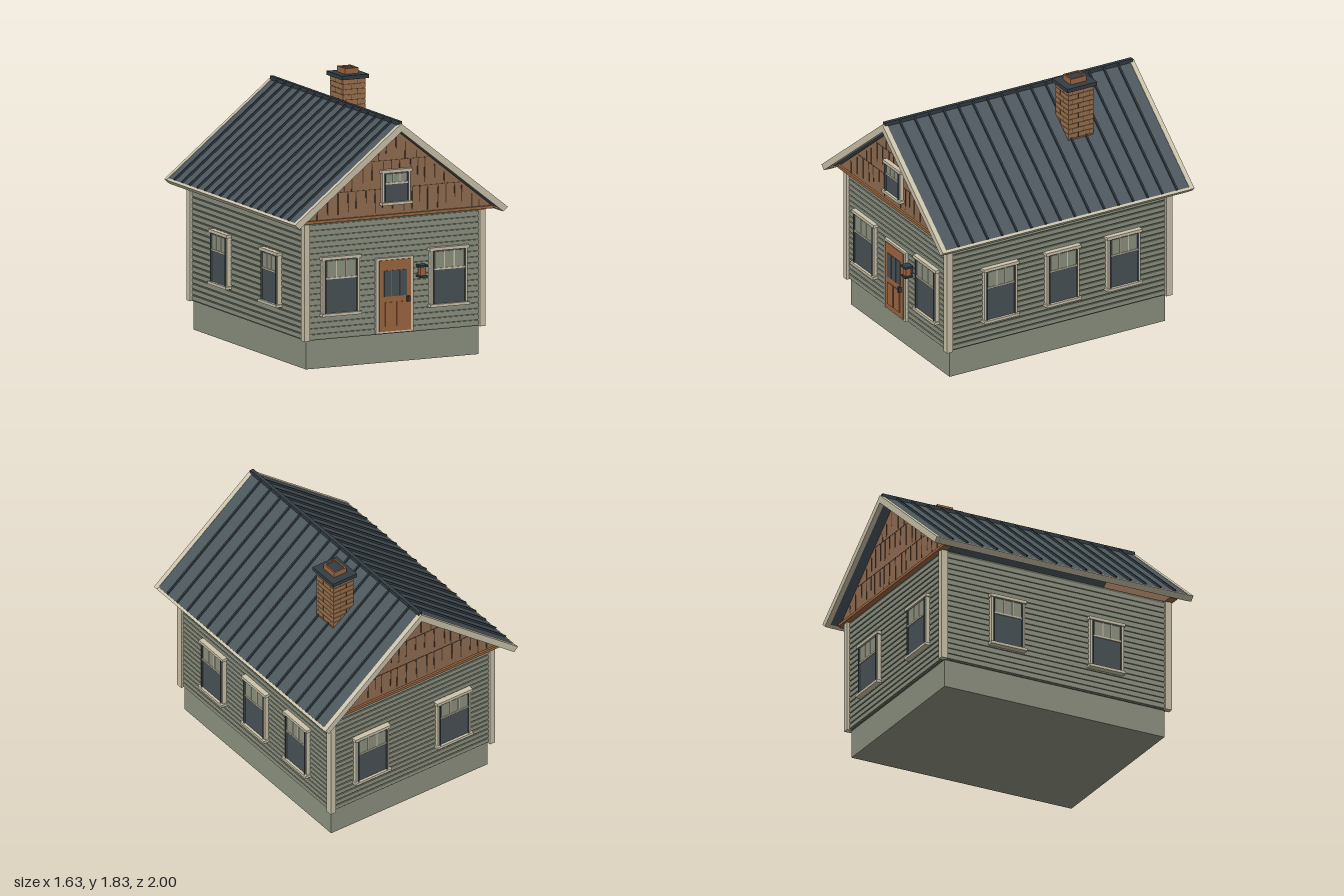
import * as THREE from 'three';

const mat = (name, color) => {
  const m = new THREE.MeshStandardMaterial({ color });
  m.name = name;
  return m;
};

export function createModel() {
  const M = {
    wall: mat('sage siding', 0x8f9482),
    groove: mat('siding shadow', 0x646a5e),
    trim: mat('cream trim', 0xccc4ac),
    roof: mat('slate roof', 0x4b565c),
    dark: mat('dark metal', 0x333d44),
    glass: mat('window glass', 0x4a5358),
    shake: mat('gable wood', 0x926e53),
    shakeLine: mat('wood gap', 0x57402f),
    copper: mat('stained wood', 0x9f6840),
    brick: mat('brick', 0x9c724f),
  };
  const house = new THREE.Group();
  house.name = 'house';

  let seed = 7;
  const rand = () => (seed = (seed * 16807) % 2147483647) / 2147483647;
  const group = (name, parent = house) => {
    const g = new THREE.Group();
    g.name = name;
    parent.add(g);
    return g;
  };
  // box given by its minimum and maximum along each axis
  const box = (parent, name, m, x0, x1, y0, y1, z0, z1) => {
    const mesh = new THREE.Mesh(new THREE.BoxGeometry(x1 - x0, y1 - y0, z1 - z0), m);
    mesh.position.set((x0 + x1) / 2, (y0 + y1) / 2, (z0 + z1) / 2);
    mesh.name = name;
    parent.add(mesh);
    return mesh;
  };
  const prism = (parent, name, m, pts, z0, z1) => {
    const shape = new THREE.Shape(pts.map(p => new THREE.Vector2(...p)));
    const mesh = new THREE.Mesh(new THREE.ExtrudeGeometry(shape, { depth: z1 - z0, bevelEnabled: false }), m);
    mesh.position.z = z0;
    mesh.name = name;
    parent.add(mesh);
    return mesh;
  };

  // foundation and lap siding
  box(house, 'foundation', M.wall, -0.66, 0.66, 0, 0.2, -0.857, 0.857);
  const walls = group('walls');
  box(walls, 'sidingGrooves', M.groove, -0.668, 0.668, 0.2, 1.02, -0.87, 0.87);
  for (let i = 0; i < 20; i++) {
    const y = 0.2 + i * 0.04;
    box(walls, 'sidingBoard', M.wall, -0.676, 0.676, y + 0.009, y + 0.04, -0.879, 0.879);
  }
  for (const sx of [-1, 1]) for (const sz of [-1, 1]) {
    const c = box(walls, 'cornerTrim', M.trim, -0.021, 0.021, 0.2, 1.01, -0.025, 0.025);
    c.position.x = sx * 0.671;
    c.position.z = sz * 0.873;
  }

  // roof: chevron cross-section run along z
  const slope = 0.79;
  const chevron = (half, top, t) => {
    const yo = x => top - slope * x, yi = x => top - t - slope * x;
    const hi = half - 0.033;
    return [[0, top], [-half, yo(half)], [-hi, yi(hi)], [0, yi(0)], [hi, yi(hi)], [half, yo(half)]];
  };
  const roof = group('roof');
  prism(roof, 'roofPanels', M.roof, chevron(0.803, 1.673, 0.045), -0.968, 0.968);
  for (const z of [-1, 0.966]) prism(roof, 'rakeBoard', M.trim, chevron(0.813, 1.677, 0.057), z, z + 0.034);
  box(roof, 'ridgeCap', M.dark, -0.013, 0.013, 1.662, 1.69, -0.985, 0.985);
  const angle = Math.atan(slope);
  for (const s of [-1, 1]) {
    prism(roof, 'eaveFascia', M.trim,
      [[0.797, 1.045], [0.76, 1.019], [0.78, 1.002], [0.812, 1.033]].map(([x, y]) => [s * x, y]), -0.97, 0.97);
    for (let i = 0; i < 16; i++) {
      const seam = box(roof, 'roofSeam', M.dark, -0.505, 0.505, -0.009, 0.009, -0.006, 0.006);
      seam.position.set(s * 0.402, 1.675 - slope * 0.402 + 0.004, -0.87 + i * 0.1157);
      seam.rotation.z = -s * angle;
    }
  }

  // gables with wooden shakes, front and back
  const rows = [1.035, 1.215, 1.41, 1.6];
  for (const s of [1, -1]) {
    const g = group(s > 0 ? 'frontGable' : 'backGable');
    if (s < 0) g.rotation.y = Math.PI;
    prism(g, 'gableWall', M.shake, [[-0.765, 1.015], [0.765, 1.015], [0, 1.625]], 0.85, 0.895);
    box(g, 'gableBand', M.copper, -0.75, 0.75, 1.015, 1.035, 0.86, 0.91);
    for (let r = 0; r < 3; r++) {
      const half = (1.61 - rows[r]) / slope;
      if (r) box(g, 'shakeCourse', M.shakeLine, -half, half, rows[r] - 0.002, rows[r] + 0.002, 0.89, 0.897);
      for (let x = -half + 0.05; x < half - 0.03; x += 0.05 + rand() * 0.04) {
        const top = Math.min(rows[r + 1], 1.6 - slope * Math.abs(x)) - 0.005;
        const len = Math.min(0.08 + rand() * 0.09, top - rows[r]);
        if (len < 0.03) continue;
        const gap = box(g, 'shakeGap', M.shakeLine, x - 0.004, x + 0.004, top - len, top, 0.89, 0.898);
        gap.rotation.z = (rand() - 0.5) * 0.08;
      }
    }
  }

  // window built facing +z, with its base on the wall plane
  const windowUnit = (name, w, y0, y1, x, y, z, turn) => {
    const g = group(name);
    g.position.set(x, y, z);
    g.rotation.y = turn;
    const a = w / 2, p = a - 0.027, b = y0 + 0.02, t = y1 - 0.022;
    for (const s of [-1, 1]) {
      const j = box(g, 'sideCasing', M.trim, -0.008, 0.008, b, t, -0.01, 0.03);
      j.position.x = s * (a - 0.018);
    }
    box(g, 'headCasing', M.trim, -a, a, t, y1, -0.01, 0.038);
    box(g, 'sill', M.trim, -a, a, y0, b, -0.01, 0.045);
    box(g, 'pane', M.glass, -p, p, b, t, -0.01, 0.026);
    const rail = b + (t - b) * 0.67, c = p - 0.014;
    box(g, 'blind', M.wall, -c, c, rail, t - 0.01, 0.022, 0.029);
    box(g, 'meetingRail', M.trim, -p, p, rail - 0.012, rail, 0.02, 0.034);
    for (const s of [-1, 1])
      box(g, 'muntin', M.trim, s * c / 3 - 0.004, s * c / 3 + 0.004, rail, t - 0.005, 0.02, 0.033);
    for (const s of [-1, 1]) {
      const f = box(g, 'sash', M.glass, -0.004, 0.004, b, t, 0, 0.036);
      f.position.x = s * (p - 0.003);
    }
    return g;
  };
  for (const s of [-1, 1]) {
    windowUnit('frontWindow', 0.302, 0.364, 0.777, s * 0.4125, 0, 0.875, 0);
    windowUnit('backWindow', 0.3, 0.37, 0.76, s * 0.345, 0, -0.875, Math.PI);
    windowUnit('rightSideWindow', 0.28, 0.378, 0.758, -0.676, 0, s * 0.385, -Math.PI / 2);
  }
  for (const z of [0.475, -0.02, -0.505])
    windowUnit('leftSideWindow', 0.28, 0.362, 0.773, 0.676, 0, z, Math.PI / 2);
  windowUnit('gableWindow', 0.235, 1.103, 1.348, 0.002, 0, 0.892, 0);

  // front door
  const door = group('door');
  box(door, 'doorCasing', M.trim, -0.143, 0.143, 0.209, 0.733, 0.86, 0.9);
  box(door, 'doorLeaf', M.copper, -0.121, 0.121, 0.223, 0.718, 0.88, 0.907);
  for (let i = 0; i < 3; i++) {
    const x = -0.087 + i * 0.0597;
    box(door, 'doorPane', M.glass, x, x + 0.054, 0.466, 0.646, 0.9, 0.911);
  }
  for (const s of [-1, 1]) {
    const panel = box(door, 'doorPanel', M.copper, -0.036, 0.036, 0.26, 0.425, 0.9, 0.914);
    panel.position.x = s * 0.045;
  }
  box(door, 'doorHandle', M.dark, 0.083, 0.102, 0.422, 0.461, 0.9, 0.93);

  // wall lantern
  const lantern = group('lantern');
  box(lantern, 'lanternBracket', M.dark, 0.185, 0.208, 0.6, 0.65, 0.87, 0.905);
  box(lantern, 'lanternBody', M.copper, 0.177, 0.216, 0.595, 0.658, 0.9, 0.94);
  box(lantern, 'lanternCap', M.dark, 0.165, 0.228, 0.656, 0.67, 0.89, 0.952);
  box(lantern, 'lanternBase', M.dark, 0.167, 0.226, 0.583, 0.596, 0.89, 0.95);

  // chimney with staggered brick courses
  const ch = group('chimney');
  ch.position.set(0.274, 0, -0.367);
  box(ch, 'mortar', M.shakeLine, -0.081, 0.081, 1.32, 1.765, -0.096, 0.096);
  const step = 0.0365;
  for (let i = 0; i < 12; i++) {
    const y = 1.325 + i * step, off = i % 2 ? 0.025 : -0.025;
    box(ch, 'brickCourse', M.brick, -0.085, 0.085, y + 0.004, y + step, -0.1, 0.1);
    box(ch, 'brickJoint', M.shakeLine, off - 0.002, off + 0.002, y, y + step, -0.1008, 0.1008);
    for (const k of [-1, 1]) {
      const z = off + k * 0.045;
      box(ch, 'brickJoint', M.shakeLine, -0.0858, 0.0858, y, y + step, z - 0.002, z + 0.002);
    }
  }
  box(ch, 'chimneyCap', M.dark, -0.102, 0.102, 1.762, 1.79, -0.119, 0.119);
  box(ch, 'flueCore', M.dark, -0.045, 0.045, 1.78, 1.822, -0.055, 0.055);
  for (const s of [-1, 1]) {
    const a = box(ch, 'flueSide', M.copper, -0.005, 0.005, 1.785, 1.83, -0.062, 0.062);
    a.position.x = s * 0.046;
    const b = box(ch, 'flueEnd', M.copper, -0.051, 0.051, 1.785, 1.83, -0.005, 0.005);
    b.position.z = s * 0.057;
  }
  return house;
}
